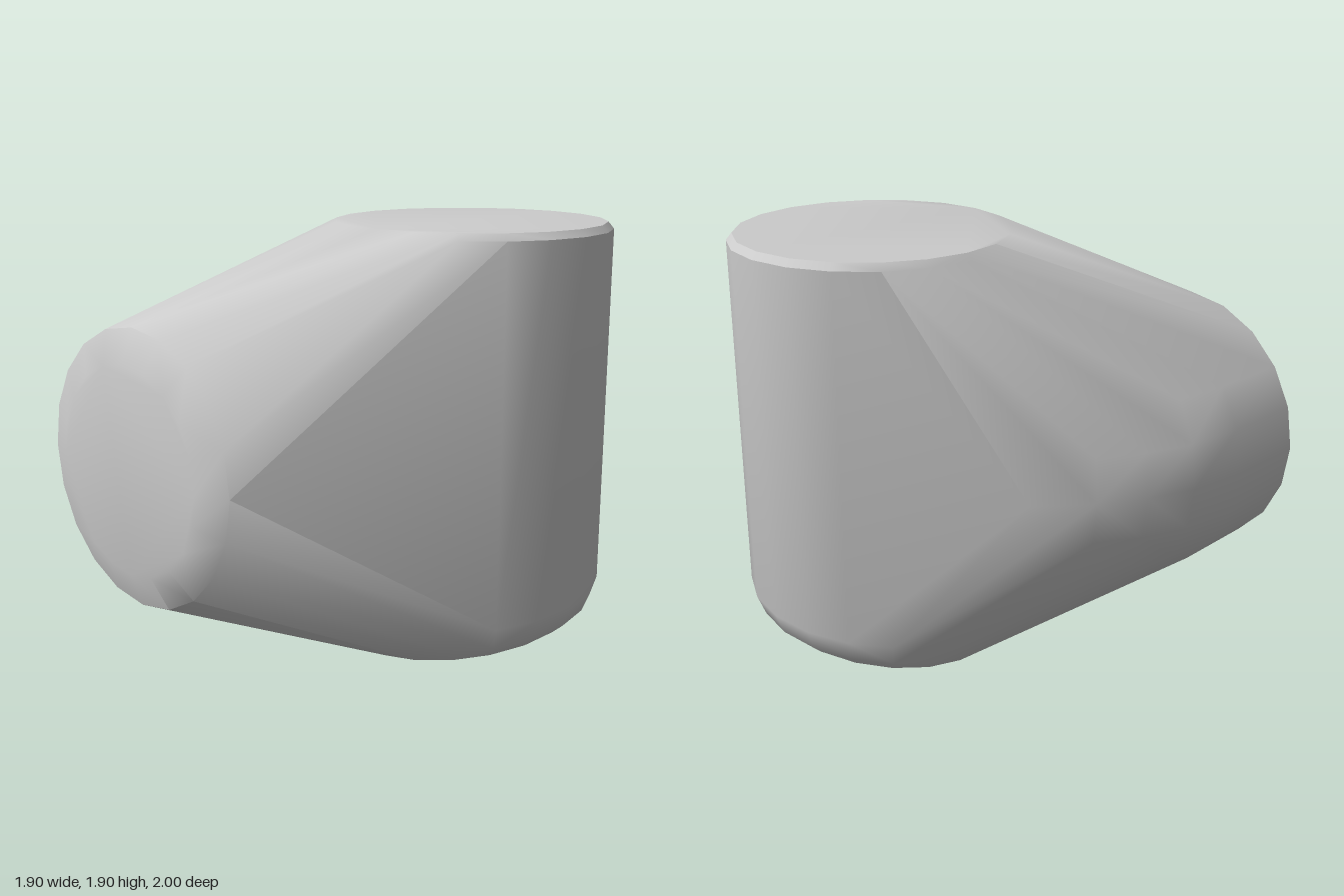
import * as THREE from 'three';
import { ConvexGeometry } from 'three/addons/geometries/ConvexGeometry.js';
import { toCreasedNormals } from 'three/addons/utils/BufferGeometryUtils.js';

const SIDES = 20;
const RISER = { x: 0.335, z: -0.385 };

// Points round a circle, each placed by a rule of (cos, sin)
function ring(place) {
  return Array.from({ length: SIDES }, (_, i) => {
    const a = (i / SIDES) * Math.PI * 2;
    return new THREE.Vector3(...place(Math.cos(a), Math.sin(a)));
  });
}

// Upright ring across the horizontal pipe, turned about y by the bend angle
function pipeRing(x, z, radius, degrees) {
  const t = THREE.MathUtils.degToRad(degrees);
  return ring((c, s) => [
    x + radius * c * Math.cos(t), 0.9 + radius * s, z + radius * c * Math.sin(t),
  ]);
}

// Level or sloping ring round the vertical riser, rising away from the front port
function riserRing(radius, y, slope = 0) {
  return ring((c, s) => [
    RISER.x + radius * c,
    y + slope * radius * (0.66 * c - 0.75 * s),
    RISER.z + radius * s,
  ]);
}

export function createModel() {
  const points = [
    // front port with its shallow bevel
    ...pipeRing(-0.335, 1, 0.455, 0),
    ...pipeRing(-0.335, 0.945, 0.605, 0),
    ...pipeRing(-0.335, 0.55, 0.62, 0),
    // sideways bend
    ...pipeRing(-0.325, 0.38, 0.615, 10),
    ...pipeRing(-0.28, 0.27, 0.615, 20),
    ...pipeRing(-0.22, 0.17, 0.615, 30),
    ...pipeRing(-0.125, 0.06, 0.615, 42),
    // top of the riser
    ...riserRing(0.59, 1.9),
    ...riserRing(0.615, 1.87),
    // rounded, sloping underside
    ...riserRing(0.612, 0.23, 0.1),
    ...riserRing(0.575, 0.13, 0.12),
    ...riserRing(0.52, 0.077, 0.15),
  ];

  const body = new THREE.Mesh(
    toCreasedNormals(new ConvexGeometry(points), 0.65),
    new THREE.MeshStandardMaterial({ color: 0xcccccc }),
  );
  body.name = 'elbowHull';

  const model = new THREE.Group();
  model.name = 'elbowBody';
  model.add(body);
  return model;
}
